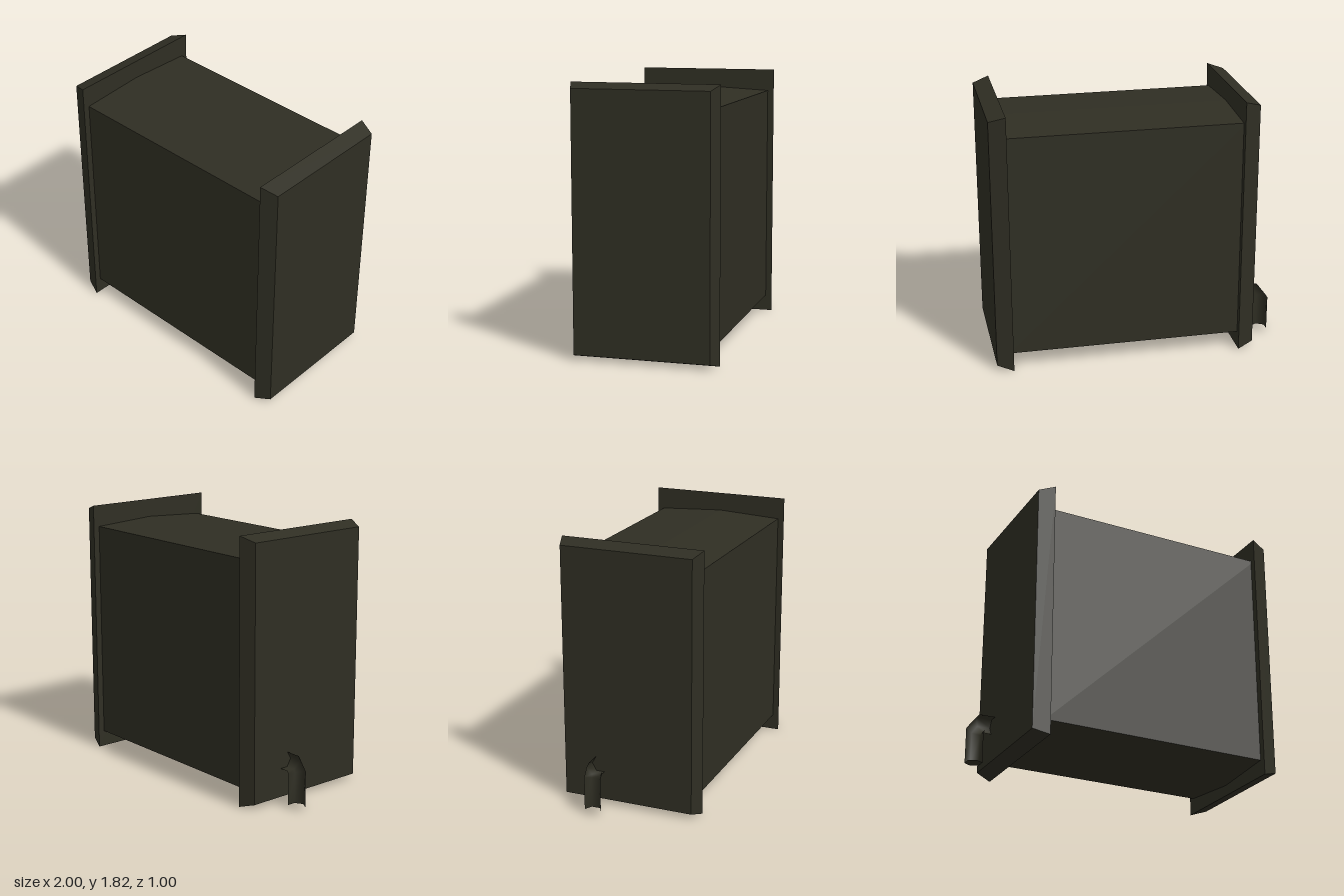
import * as THREE from 'three';

const darkOlive = new THREE.MeshStandardMaterial({ color: 0x2f2e23 });
darkOlive.name = 'darkOlive';

function addMesh(group, name, geometry) {
  const mesh = new THREE.Mesh(geometry, darkOlive);
  mesh.name = name;
  group.add(mesh);
}

// End plate that tapers from its wide inner face to its smaller outer face
function endPlateGeometry(side, innerX, outerX) {
  const geo = new THREE.BoxGeometry(1, 1.82, 1);
  const pos = geo.attributes.position;
  for (let i = 0; i < pos.count; i++) {
    const outer = pos.getX(i) * side > 0;
    const y = pos.getY(i), z = pos.getZ(i);
    pos.setXYZ(
      i,
      outer ? outerX : innerX,
      0.91 + y - (outer ? Math.sign(y) * 0.035 : 0),
      z - (outer ? Math.sign(z) * 0.038 : 0)
    );
  }
  geo.computeVertexNormals();
  return geo;
}

// Hexagonal bent pipe: each ring is [outer x, outer y, inner x, inner y]
function pipeGeometry(rings, centreZ, radius) {
  const sides = 6, points = [], index = [];
  rings.forEach(([ox, oy, ix, iy]) => {
    for (let k = 0; k < sides; k++) {
      const a = (k / sides) * Math.PI * 2;
      const s = Math.sin(a) / Math.sin(Math.PI / 3) / 2;
      points.push((ox + ix) / 2 + (ox - ix) * s, (oy + iy) / 2 + (oy - iy) * s, centreZ + Math.cos(a) * radius);
    }
  });
  for (let r = 0; r < rings.length - 1; r++) {
    for (let k = 0; k < sides; k++) {
      const a = r * sides + k, b = r * sides + ((k + 1) % sides);
      index.push(a, a + sides, b, b, a + sides, b + sides);
    }
  }
  const geo = new THREE.BufferGeometry();
  geo.setAttribute('position', new THREE.Float32BufferAttribute(points, 3));
  geo.setIndex(index);
  geo.computeVertexNormals();
  return geo;
}

export function createModel() {
  const model = new THREE.Group();
  model.name = 'tank';

  // Main body with shallow ridges along the top and bottom
  const section = new THREE.Shape([
    [-0.455, 0.115], [0, 0.075], [0.455, 0.115],
    [0.455, 1.665], [0, 1.69], [-0.455, 1.665],
  ].map(([z, y]) => new THREE.Vector2(z, y)));
  const body = new THREE.ExtrudeGeometry(section, { depth: 1.64, bevelEnabled: false });
  body.rotateY(Math.PI / 2).translate(-0.73, 0, 0);
  addMesh(model, 'body', body);

  // End plates
  addMesh(model, 'leftEndPlate', endPlateGeometry(1, 0.887, 1));
  addMesh(model, 'rightEndPlate', endPlateGeometry(-1, -0.71, -0.82));

  // Drain pipe and its flat lower end
  addMesh(model, 'drainPipe', pipeGeometry([
    [-0.81, 0.34, -0.81, 0.236],
    [-0.932, 0.34, -0.887, 0.236],
    [-1, 0.25, -0.898, 0.215],
    [-1, 0, -0.898, 0],
  ], -0.2, 0.06));
  const pipeEnd = new THREE.CircleGeometry(0.06, 6);
  pipeEnd.rotateX(Math.PI / 2).rotateY(Math.PI / 2).translate(-0.949, 0, -0.2);
  addMesh(model, 'drainPipeEnd', pipeEnd);

  return model;
}
